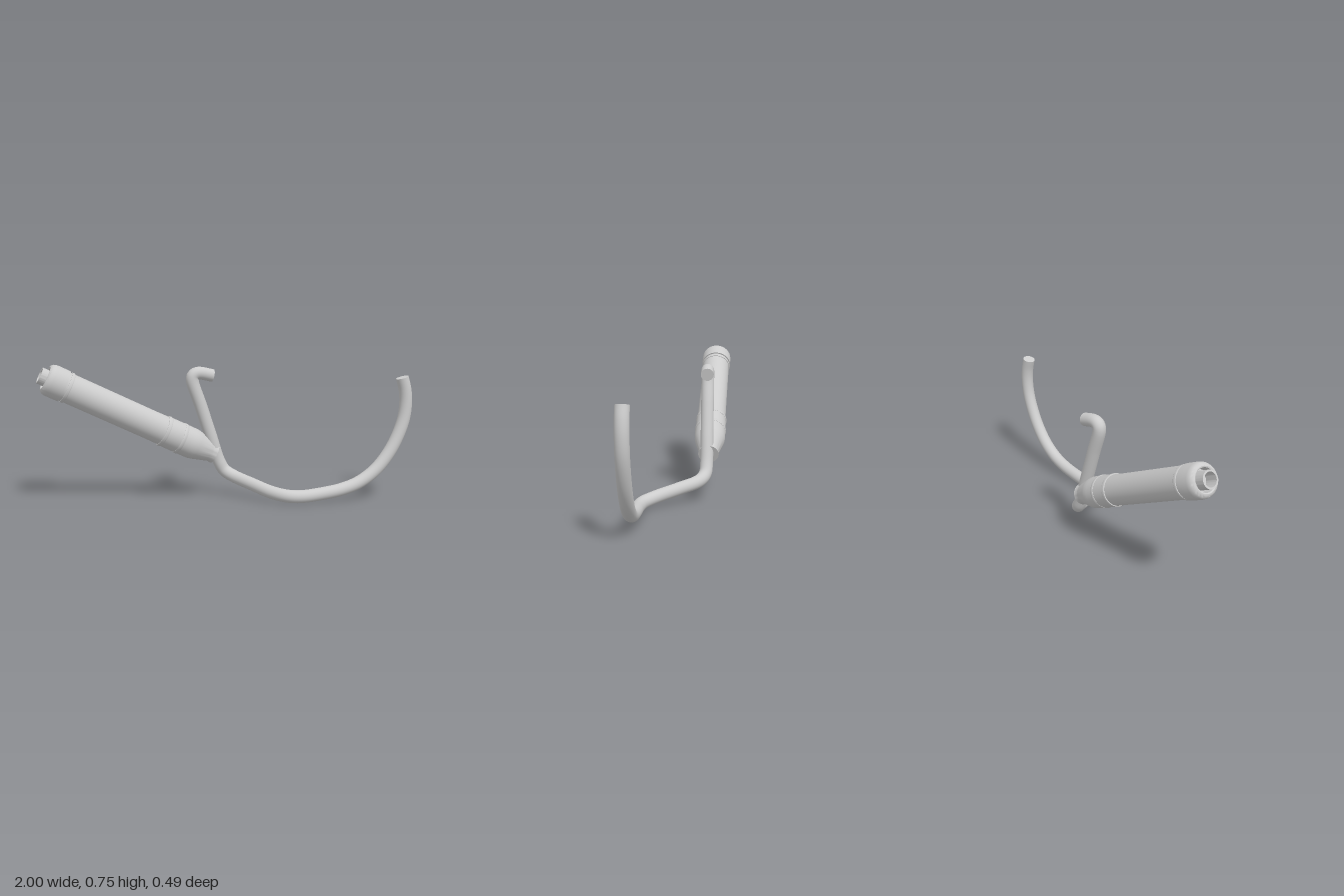
import * as THREE from 'three';
import { toCreasedNormals } from 'three/addons/utils/BufferGeometryUtils.js';

const V = (x, y, z) => new THREE.Vector3(x, y, z);

export function createModel() {
  const group = new THREE.Group();
  const steel = new THREE.MeshStandardMaterial({ color: 0xcccccc });
  steel.name = 'steel grey';

  const add = (name, geometry, parent = group) => {
    const mesh = new THREE.Mesh(geometry, steel);
    mesh.name = name;
    parent.add(mesh);
    return mesh;
  };

  // Header pipe: one bent tube with closed ends
  const R = 0.035;
  const path = new THREE.CatmullRomCurve3([
    V(0.938, 0.668, 0.21), V(0.957, 0.6, 0.21), V(0.963, 0.53, 0.21), V(0.952, 0.44, 0.21),
    V(0.915, 0.34, 0.21), V(0.86, 0.246, 0.21), V(0.785, 0.162, 0.21), V(0.69, 0.1, 0.21),
    V(0.59, 0.067, 0.21), V(0.46, 0.048, 0.21), V(0.34, 0.04, 0.208), V(0.27, 0.045, 0.19),
    V(0.205, 0.058, 0.13), V(0.135, 0.085, 0.015), V(0.065, 0.115, -0.095),
    V(0.022, 0.145, -0.125), V(-0.008, 0.195, -0.131), V(-0.06, 0.35, -0.131),
    V(-0.115, 0.515, -0.131), V(-0.161, 0.65, -0.131), V(-0.159, 0.676, -0.131),
    V(-0.142, 0.69, -0.131), V(-0.115, 0.692, -0.131), V(-0.046, 0.677, -0.131),
  ], false, 'centripetal');
  add('headerPipe', new THREE.TubeGeometry(path, 220, R, 32));
  for (const [name, t, sign] of [['engineEndCap', 0, -1], ['upperEndCap', 1, 1]]) {
    const cap = add(name, new THREE.CircleGeometry(R, 32));
    cap.position.copy(path.getPointAt(t));
    cap.quaternion.setFromUnitVectors(V(0, 0, 1), path.getTangentAt(t).multiplyScalar(sign));
  }

  // Muffler: turned parts along a tilted axis, local y runs from inlet to outlet
  const muffler = new THREE.Group();
  muffler.name = 'muffler';
  const inlet = V(-0.034, 0.241, -0.14);
  const outlet = V(-0.984, 0.7, -0.162);
  muffler.position.copy(inlet);
  muffler.quaternion.setFromUnitVectors(V(0, 1, 0), outlet.sub(inlet).normalize());
  group.add(muffler);

  const turned = (name, profile) => {
    const points = profile.map(([r, y]) => new THREE.Vector2(r, y));
    add(name, toCreasedNormals(new THREE.LatheGeometry(points, 48), 0.6), muffler);
  };

  turned('inletCone', [
    [0, 0], [0.057, 0], [0.054, 0.02], [0.058, 0.035], [0.08, 0.115], [0.084, 0.135], [0.085, 0.16], [0.085, 0.22],
  ]);
  turned('mufflerBody', [[0.083, 0.2], [0.08, 0.4], [0.08, 0.92]]);

  // Raised clamp bands
  for (const [y, r, w] of [[0.215, 0.088, 0.02], [0.315, 0.087, 0.02], [0.895, 0.085, 0.018]]) {
    turned('clampBand', [
      [r - 0.009, y - w / 2], [r - 0.002, y - w / 2], [r, y - w / 4],
      [r, y + w / 4], [r - 0.002, y + w / 2], [r - 0.009, y + w / 2],
    ]);
  }
  turned('frontSleeve', [[0.08, 0.22], [0.085, 0.22], [0.084, 0.31], [0.08, 0.31]]);

  // Rounded end cap with a recess
  turned('endCap', [
    [0.078, 0.915], [0.087, 0.915], [0.087, 0.985], [0.085, 1.0], [0.08, 1.011],
    [0.072, 1.019], [0.064, 1.021], [0.058, 1.018], [0.054, 0.975], [0, 0.975],
  ]);

  // Open outlet tube
  turned('outletTube', [
    [0.045, 0.97], [0.045, 1.053], [0.036, 1.053], [0.036, 0.98], [0, 0.98],
  ]);

  return group;
}
